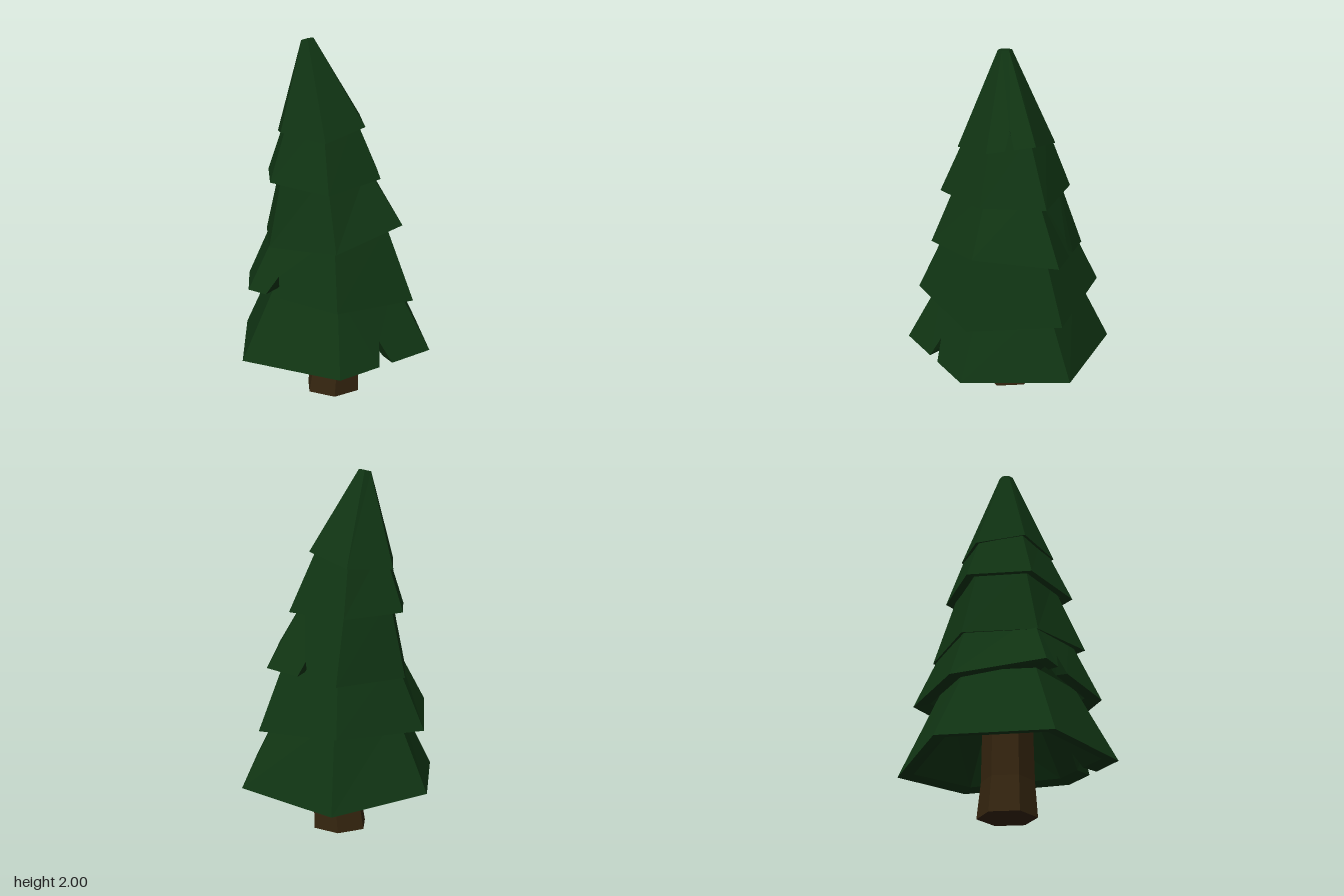
import * as THREE from 'three';

const needles = new THREE.MeshStandardMaterial({ color: 0x103413, flatShading: true });
needles.name = 'pine green';
const bark = new THREE.MeshStandardMaterial({ color: 0x35250f, flatShading: true });
bark.name = 'bark brown';

const V = (x, y, z) => new THREE.Vector3(x, y, z);

// Six corners, starting at the front and going round by the +x side
function hexRing(x, y, z, r, tilt = 0) {
  return Array.from({ length: 6 }, (_, i) => {
    const a = (i * Math.PI) / 3;
    return V(x + r * Math.sin(a), y + tilt * Math.sin(a), z + r * Math.cos(a));
  });
}

function meshFrom(name, points, material) {
  const geo = new THREE.BufferGeometry().setFromPoints(points);
  geo.computeVertexNormals();
  const mesh = new THREE.Mesh(geo, material);
  mesh.name = name;
  return mesh;
}

function capRing(out, ring, up) {
  for (let i = 1; i < 5; i++) {
    if (up) out.push(ring[0], ring[i], ring[i + 1]);
    else out.push(ring[0], ring[i + 1], ring[i]);
  }
}

// Wall from a bottom ring to a top ring; one side may carry a V notch.
// Returns the bottom edge as a closed polyline.
function wall(out, bottom, top, notch, inward) {
  const edge = [];
  const tri = (a, b, c) => (inward ? out.push(a, c, b) : out.push(a, b, c));
  for (let i = 0; i < 6; i++) {
    const j = (i + 1) % 6;
    const [b0, b1, t0, t1] = [bottom[i], bottom[j], top[i], top[j]];
    edge.push(b0);
    if (notch && notch.side === i) {
      const a = b0.clone().lerp(b1, notch.from);
      const b = b0.clone().lerp(b1, notch.to);
      const tip = b0.clone().lerp(b1, notch.tip).lerp(t0.clone().lerp(t1, notch.tip), notch.height);
      tri(b0, a, t0);
      tri(a, tip, t0);
      tri(tip, t1, t0);
      tri(tip, b, t1);
      tri(b, b1, t1);
      edge.push(a, tip, b);
    } else {
      tri(b0, b1, t1);
      tri(b0, t1, t0);
    }
  }
  return edge;
}

// Hollow skirt of branches with a thick rim
function tier(name, { corners, top, rim, notch }) {
  const out = [];
  const outer = corners.map((p) => V(...p));
  const outerTop = hexRing(...top);
  const mid = outer.reduce((s, p) => s.add(p), V(0, 0, 0)).divideScalar(6);
  const inner = outer.map((p) => V(p.x + (mid.x - p.x) * rim, p.y + 0.015, p.z + (mid.z - p.z) * rim));
  const innerTop = hexRing(top[0], top[1] - 0.1, top[2], top[3] * 0.82);

  const e0 = wall(out, outer, outerTop, notch, false);
  const e1 = wall(out, inner, innerTop, notch, true);
  e0.forEach((o, i) => {
    const j = (i + 1) % e0.length;
    out.push(o, e1[i], e1[j], o, e1[j], e0[j]);
  });
  capRing(out, outerTop, true);
  capRing(out, innerTop, false);
  return meshFrom(name, out, needles);
}

// Rim corners: front, right front, right back, back, left back, left front
const TIERS = [
  {
    corners: [[0, 0.29, 0.585], [0.51, 0.33, 0.3], [0.51, 0.295, -0.3], [0, 0.24, -0.585], [-0.49, 0.29, -0.31], [-0.51, 0.29, 0.29]],
    top: [0, 0.7, 0, 0.37], rim: 0.15,
    notch: { side: 0, from: 0.43, to: 0.57, tip: 0.49, height: 0.3 },
  },
  {
    corners: [[-0.01, 0.63, 0.51], [0.42, 0.605, 0.26], [0.42, 0.605, -0.26], [-0.02, 0.63, -0.51], [-0.47, 0.62, -0.24], [-0.47, 0.685, 0.25]],
    top: [-0.015, 1.0, 0, 0.34], rim: 0.18,
    notch: { side: 5, from: 0.2, to: 0.36, tip: 0.28, height: 0.3 },
  },
  {
    corners: [[-0.01, 0.925, 0.43], [0.36, 1.02, 0.22], [0.375, 0.95, -0.24], [-0.01, 0.885, -0.41], [-0.365, 0.9, -0.2], [-0.355, 0.905, 0.2]],
    top: [-0.05, 1.32, 0, 0.26], rim: 0.18,
    notch: { side: 2, from: 0.45, to: 0.6, tip: 0.5, height: 0.2 },
  },
  {
    corners: [[-0.045, 1.225, 0.37], [0.245, 1.265, 0.17], [0.26, 1.245, -0.18], [-0.045, 1.23, -0.34], [-0.35, 1.25, -0.18], [-0.345, 1.255, 0.17]],
    top: [-0.065, 1.6, 0, 0.2], rim: 0.18,
  },
  {
    corners: [[-0.055, 1.48, 0.27], [0.165, 1.54, 0.13], [0.155, 1.565, -0.13], [-0.055, 1.485, -0.255], [-0.295, 1.475, -0.14], [-0.285, 1.515, 0.13]],
    top: [-0.135, 1.992, 0.01, 0.037, 0.008], rim: 0.18,
    notch: { side: 1, from: 0.38, to: 0.56, tip: 0.5, height: 0.2 },
  },
];

export function createModel() {
  const tree = new THREE.Group();
  tree.name = 'pineTree';

  // Slightly bent six-sided trunk
  const rings = [hexRing(0, 0, 0, 0.16), hexRing(0.017, 0.2, 0.002, 0.143), hexRing(0.018, 0.62, 0, 0.135)];
  const pts = [];
  capRing(pts, rings[0], false);
  wall(pts, rings[0], rings[1], null, false);
  wall(pts, rings[1], rings[2], null, false);
  tree.add(meshFrom('trunk', pts, bark));

  // Five skirts of branches, bottom to top
  TIERS.forEach((t, i) => tree.add(tier(`branchTier${i + 1}`, t)));
  return tree;
}
